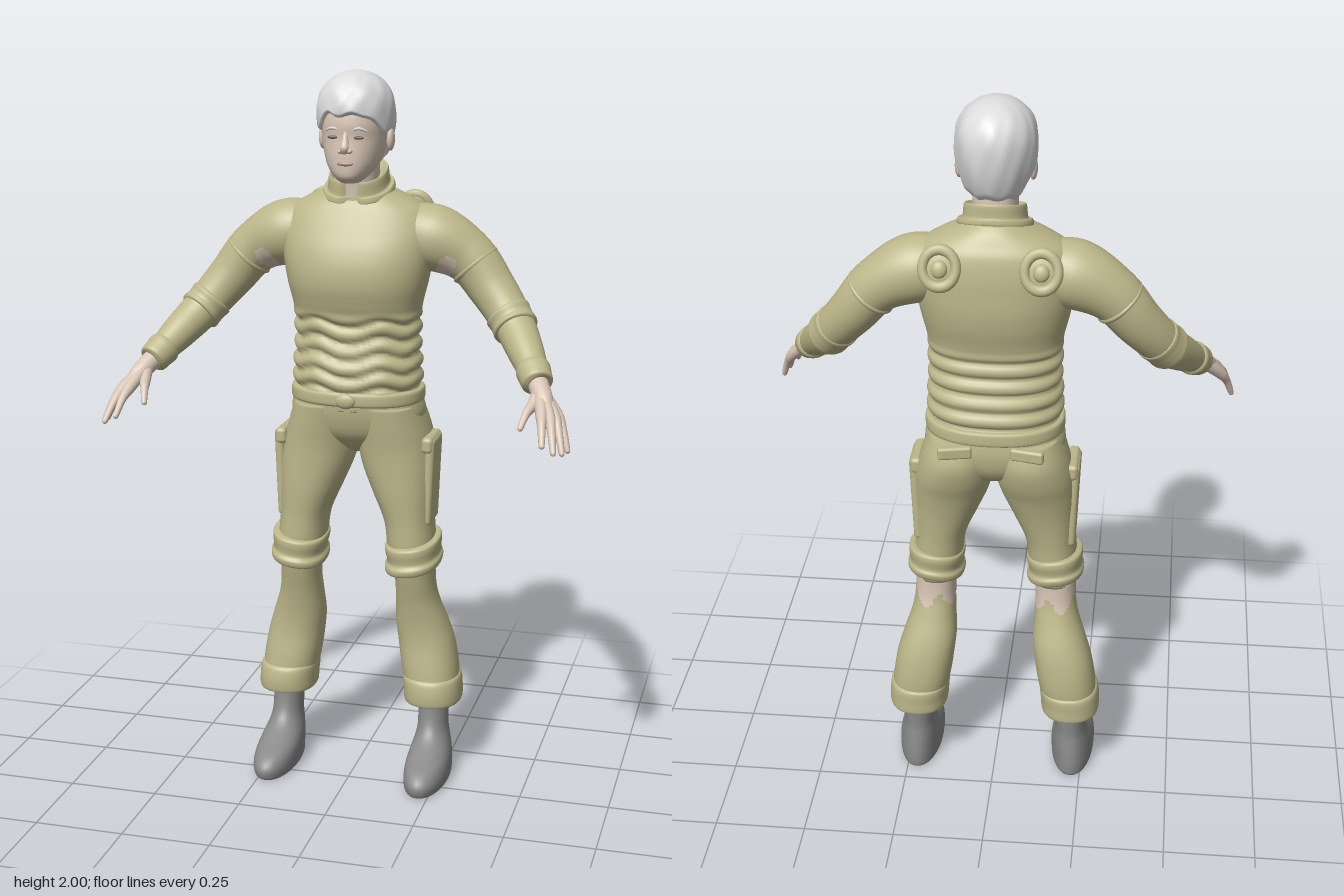
import * as THREE from 'three';
import { mergeVertices } from 'three/addons/utils/BufferGeometryUtils.js';
import { RoundedBoxGeometry } from 'three/addons/geometries/RoundedBoxGeometry.js';

const V = (x, y, z) => new THREE.Vector3(x, y, z);
const ss = THREE.MathUtils.smoothstep;
const mat = (name, color) => Object.assign(new THREE.MeshStandardMaterial({ color }), { name });

// Smooth interpolation through rows of numbers, t in 0..1
function at(rows, t) {
  const n = rows.length - 1, i = Math.min(Math.floor(t * n), n - 1), f = t * n - i;
  const r = k => rows[Math.max(0, Math.min(n, k))];
  return rows[i].map((b, c) => {
    const a = r(i - 1)[c], d = r(i + 1)[c], e = r(i + 2)[c];
    return b + 0.5 * f * (d - a + f * (2 * a - 5 * b + 4 * d - e + f * (3 * (b - d) + e - a)));
  });
}

// Closed, capped skin over fn(angle, v); pick(x, y, z) sends faces to the second material
function grid(fn, nu, nv, pick) {
  const pos = [], main = [], alt = [];
  for (let j = -1; j <= nv + 1; j++) {
    const ring = [], v = Math.max(0, Math.min(nv, j)) / nv;
    for (let i = 0; i < nu; i++) ring.push(fn(i / nu * Math.PI * 2, v));
    const mid = ring.reduce((s, p) => s.add(p), V(0, 0, 0)).divideScalar(nu);
    ring.forEach(p => pos.push(...(j < 0 || j > nv ? mid : p)));
  }
  for (let j = 0; j < nv + 2; j++) for (let i = 0; i < nu; i++) {
    const k = (i + 1) % nu, a = j * nu + i, b = j * nu + k, c = b + nu, d = a + nu;
    const list = pick && pick(pos[a * 3], pos[a * 3 + 1], pos[a * 3 + 2]) ? alt : main;
    if (j > 0) list.push(a, b, d);
    if (j <= nv) list.push(b, c, d);
    if (j === 0) list.push(a, c, d);
  }
  const g = new THREE.BufferGeometry();
  g.setAttribute('position', new THREE.Float32BufferAttribute(pos, 3));
  g.setIndex([...main, ...alt]);
  if (pick) { g.addGroup(0, main.length, 0); g.addGroup(main.length, alt.length, 1); }
  g.computeVertexNormals();
  return g;
}

// Upright body section: rows of [y, centre x, half width, front z, back z], bottom to top
function loft(rows, { nu = 36, nv = 32, n = 2.3, bump, tilt = [0, 0], pick } = {}) {
  const pw = s => Math.sign(s) * Math.pow(Math.abs(s), 2 / n);
  return grid((a, v) => {
    const [y, cx, hw, zf, zb] = at(rows, v), k = bump ? bump(a, y) : 0;
    const dx = (hw + k) * pw(Math.sin(a)), dz = ((zf - zb) / 2 + k) * pw(Math.cos(a));
    return V(cx + dx, y + tilt[0] * dx + tilt[1] * dz, (zf + zb) / 2 + dz);
  }, nu, nv, pick);
}

// Limb along a path of [x, y, z, radius]
function limb(pts, { nu = 20, nv = 24, pick } = {}) {
  const curve = new THREE.CatmullRomCurve3(pts.map(p => V(p[0], p[1], p[2])));
  const fr = curve.computeFrenetFrames(nv), rad = pts.map(p => [p[3]]);
  return grid((a, v) => {
    const k = Math.round(v * nv), r = at(rad, v)[0];
    return curve.getPoint(v).addScaledVector(fr.normals[k], r * Math.cos(a)).addScaledVector(fr.binormals[k], r * Math.sin(a));
  }, nu, nv, pick);
}

const ball = (x, y, z, a, b, c) => new THREE.SphereGeometry(1, 20, 14).scale(a, b, c).translate(x, y, z);

export function createModel() {
  const cloth = mat('khaki cloth', 0xbcb78a), skin = mat('skin', 0xd8c6b6), hairM = mat('pale hair', 0xdcdcdc);
  const bootM = mat('grey boots', 0x8b8b8b), dark = mat('dark features', 0x66605c), lipM = mat('lips', 0xb89888);
  const model = new THREE.Group();
  model.name = 'standingFigure';
  const add = (name, geo, m) => {
    const mesh = new THREE.Mesh(geo, m);
    mesh.name = name;
    model.add(mesh);
  };
  // Adds a part on the left and its mirror image on the right
  const pair = (name, geo, m) => {
    const g = geo.index ? geo : mergeVertices(geo), r = g.clone().scale(-1, 1, 1), ix = r.index.array;
    for (let i = 0; i < ix.length; i += 3) [ix[i], ix[i + 1]] = [ix[i + 1], ix[i]];
    add('left' + name, g, m);
    add('right' + name, r, m);
  };

  // Torso with ribbed waist folds that wave across the front
  const folds = (a, y) => {
    const w = ss(y, 1.12, 1.15) * (1 - ss(y, 1.33, 1.37));
    const yy = y - 0.012 * Math.max(0, Math.cos(a)) * Math.cos(6 * a + Math.PI);
    return w * 0.016 * (Math.pow(Math.abs(Math.sin(yy * Math.PI / 0.046)), 0.7) - 0.5);
  };
  add('torso', loft([
    [1.09, 0, .172, .015, -.235], [1.14, 0, .174, .02, -.235], [1.2, 0, .174, .02, -.23], [1.27, 0, .17, .008, -.22],
    [1.33, 0, .172, .008, -.216], [1.38, 0, .18, .025, -.225], [1.43, 0, .192, .038, -.238], [1.48, 0, .202, .038, -.245],
    [1.53, 0, .21, .026, -.245], [1.58, 0, .212, .005, -.242], [1.63, 0, .19, -.018, -.232], [1.66, 0, .145, -.033, -.216],
    [1.685, 0, .09, -.045, -.2], [1.7, 0, .065, -.055, -.185]], { nu: 72, nv: 110, bump: folds }), cloth);
  add('belt', loft([[1.105, 0, .172, .015, -.235], [1.108, 0, .184, .028, -.245], [1.125, 0, .186, .03, -.246],
    [1.142, 0, .184, .028, -.244], [1.145, 0, .172, .015, -.235]], { nu: 48, nv: 12 }), cloth);
  add('buckle', ball(0, 1.125, .034, .028, .021, .012), cloth);
  add('pelvis', loft([[.955, 0, .02, -.08, -.15], [.98, 0, .09, -.04, -.2], [1.02, 0, .165, -.005, -.23],
    [1.07, 0, .188, .012, -.24], [1.12, 0, .178, .018, -.235]]), cloth);

  // Neck and tilted stand-up collar, notched at the throat
  add('neck', loft([[1.66, 0, .062, -.035, -.175], [1.71, 0, .058, -.03, -.17], [1.77, 0, .058, -.02, -.165]]), skin);
  add('collar', loft([[1.7, 0, .06, -.04, -.165], [1.705, 0, .07, -.032, -.178], [1.68, 0, .096, -.02, -.2],
    [1.695, 0, .094, -.02, -.2], [1.698, 0, .083, -.024, -.194], [1.728, 0, .079, -.023, -.192],
    [1.734, 0, .074, -.026, -.186], [1.72, 0, .062, -.036, -.17]],
  { nu: 48, nv: 42, tilt: [0, -.32], bump: a => (Math.cos(a) > .985 ? -.014 : 0) }), cloth);

  // Head and face
  add('head', loft([[1.712, 0, .025, .012, -.06], [1.728, 0, .045, .031, -.1], [1.755, 0, .066, .036, -.14],
    [1.79, 0, .079, .036, -.17], [1.83, 0, .087, .033, -.185], [1.87, 0, .09, .035, -.19],
    [1.92, 0, .083, .022, -.178], [1.96, 0, .055, -.02, -.14]], { n: 2.2 }), skin);
  add('nose', limb([[0, 1.85, .028, .006], [0, 1.825, .035, .009], [0, 1.803, .042, .012], [0, 1.795, .036, .007]], { nv: 12 }), skin);
  add('mouth', ball(0, 1.766, .035, .022, .006, .006), lipM);
  pair('Nostril', ball(.012, 1.799, .035, .008, .007, .01), skin);
  pair('Eye', ball(.035, 1.834, .028, .014, .0045, .005), dark);
  pair('Brow', limb([[.016, 1.853, .031, .002], [.036, 1.858, .029, .004], [.058, 1.85, .02, .002]], { nu: 8, nv: 8 }), hairM);
  pair('Ear', ball(.093, 1.822, -.085, .011, .032, .019), skin);

  // Cap of hair with a fringe, open at the ears and long at the nape
  add('hair', grid((a, v) => {
    const c = Math.min(a, Math.PI * 2 - a);
    const b = 1.885 - .05 * ss(c, .5, 1.1) - .085 * ss(c, 1.5, 2.2) + .006 * Math.sin(9 * a);
    const y = b + (2 - b) * Math.sin(v * Math.PI / 2), h = (y - 1.885) / .115;
    let k = h > 0 ? Math.sqrt(Math.max(0, 1 - Math.pow(h, 2.4))) : 1 - .22 * h * h;
    k *= (.86 + .14 * ss(v, 0, .06)) * (1 + .012 * Math.sin(7 * a + 9 * v) + .01 * Math.sin(13 * a - 14 * v));
    return V(.104 * k * Math.sin(a), y, -.08 + .124 * k * Math.cos(a));
  }, 64, 36), hairM);

  // Sleeves, with bare patches by the armpits
  const arm = [[.1, 1.57, -.12, .07], [.2, 1.557, -.125, .09], [.3, 1.507, -.13, .073], [.37, 1.425, -.117, .064],
    [.435, 1.345, -.075, .056], [.485, 1.283, .0, .048], [.53, 1.225, .08, .036]];
  pair('Sleeve', limb(arm, { nu: 40, nv: 70,
    pick: (x, y, z) => z > -.125 && Math.hypot((x - .25) * 1.1 - (y - 1.49) * .5, (y - 1.49) * .8) < .03 }), [cloth, skin]);
  pair('ShoulderSeam', limb([[.313, 1.494, -.13, .066], [.32, 1.486, -.129, .073], [.328, 1.477, -.128, .066]], { nu: 32, nv: 6 }), cloth);
  pair('ElbowBand', limb([[.413, 1.372, -.092, .05], [.417, 1.367, -.089, .062], [.428, 1.353, -.081, .06],
    [.436, 1.343, -.074, .06], [.446, 1.331, -.062, .061], [.45, 1.326, -.056, .045]], { nu: 32, nv: 20 }), cloth);
  pair('SleeveCuff', limb([[.507, 1.255, .035, .036], [.512, 1.248, .046, .046], [.522, 1.235, .066, .044],
    [.532, 1.222, .085, .041], [.534, 1.22, .088, .03]], { nu: 28, nv: 14 }), cloth);

  // Hands: palm and five fingers running out from the wrist
  pair('Wrist', limb([[.52, 1.238, .06, .026], [.54, 1.212, .1, .027], [.558, 1.188, .135, .024], [.575, 1.168, .165, .012]]), skin);
  const fingers = { Index: [[.56, 1.165, .187], [.575, 1.1, .262]], Middle: [[.58, 1.16, .182], [.605, 1.085, .265]],
    Ring: [[.592, 1.155, .166], [.622, 1.075, .228]], Little: [[.597, 1.152, .145], [.63, 1.072, .185]],
    Thumb: [[.53, 1.178, .152], [.51, 1.13, .215]] };
  for (const [name, [k, t]] of Object.entries(fingers)) {
    const w = name === 'Thumb' ? .016 : .018, m = k.map((c, i) => (c + t[i]) / 2 + (i === 1 ? .01 : 0));
    pair(name + 'Finger', limb([[.54, 1.212, .1, w], [...k, .0155], [...m, .011], [...t, .007],
      t.map((c, i) => c + (t[i] - m[i]) * .1).concat(.001)], { nu: 12 }), skin);
  }

  // Trousers: thigh, knee band, flared shin with bare hollow of the knee, rolled cuff
  pair('Thigh', loft([[.63, .163, .062, -.015, -.178], [.7, .158, .067, -.01, -.185], [.77, .15, .07, -.01, -.19],
    [.85, .133, .087, -.005, -.203], [.92, .118, .101, -.003, -.222], [.98, .107, .105, .0, -.245],
    [1.04, .098, .098, .008, -.256], [1.1, .09, .085, .015, -.24]], { n: 2.2, nv: 40 }), cloth);
  pair('KneeBand', loft([[.632, .166, .06, -.012, -.18], [.635, .166, .076, .003, -.192], [.652, .166, .079, .008, -.198],
    [.667, .166, .073, .0, -.192], [.695, .164, .077, .004, -.197], [.71, .163, .075, .002, -.194], [.714, .162, .06, -.012, -.18]],
  { nu: 40, nv: 36, tilt: [.13, -.12] }), cloth);
  pair('Shin', loft([[.25, .215, .077, -.052, -.23], [.32, .205, .081, -.058, -.235], [.39, .194, .08, -.067, -.23],
    [.45, .182, .074, -.066, -.217], [.52, .172, .061, -.055, -.193], [.58, .168, .056, -.04, -.178], [.66, .165, .059, -.02, -.176]],
  { nu: 44, nv: 48, pick: (x, y, z) => z < -.125 && y > .565 + .02 * Math.sin(x * 90) }), [cloth, skin]);
  pair('TrouserCuff', loft([[.27, .217, .06, -.075, -.215], [.235, .217, .068, -.065, -.222], [.218, .217, .076, -.05, -.232],
    [.222, .217, .082, -.043, -.239], [.25, .216, .083, -.041, -.24], [.28, .213, .083, -.045, -.241],
    [.292, .211, .08, -.052, -.237], [.294, .21, .072, -.062, -.226]], { nu: 40, nv: 35 }), cloth);
  pair('ThighPocket', new RoundedBoxGeometry(.026, .25, .115, 4, .012).rotateZ(-.04).translate(.212, .885, -.105), cloth);
  pair('PocketFlap', new RoundedBoxGeometry(.032, .045, .125, 4, .012).rotateZ(-.04).translate(.209, .992, -.105), cloth);
  pair('BackPocketFlap', new RoundedBoxGeometry(.09, .035, .02, 4, .008).rotateY(.2).translate(.095, 1.085, -.243), cloth);

  // Boots
  pair('Boot', loft([[.0, .223, .054, .085, -.198], [.008, .223, .06, .096, -.204], [.035, .223, .062, .1, -.206],
    [.062, .222, .06, .075, -.205], [.085, .221, .055, .02, -.203], [.11, .22, .048, -.035, -.2], [.14, .219, .043, -.066, -.197],
    [.19, .218, .043, -.08, -.2], [.27, .217, .045, -.085, -.205]], { n: 2.1, nv: 44 }), bootM);

  // Oval shoulder-blade pads with a raised button
  const onBack = g => g.rotateX(.3).translate(.127, 1.61, -.245);
  pair('PadRim', onBack(new THREE.TorusGeometry(.042, .013, 12, 36).scale(1, 1.12, 1)), cloth);
  pair('PadBase', onBack(ball(0, 0, .008, .045, .05, .014)), cloth);
  pair('PadButton', onBack(ball(0, -.002, -.004, .021, .023, .014)), cloth);
  return model;
}
